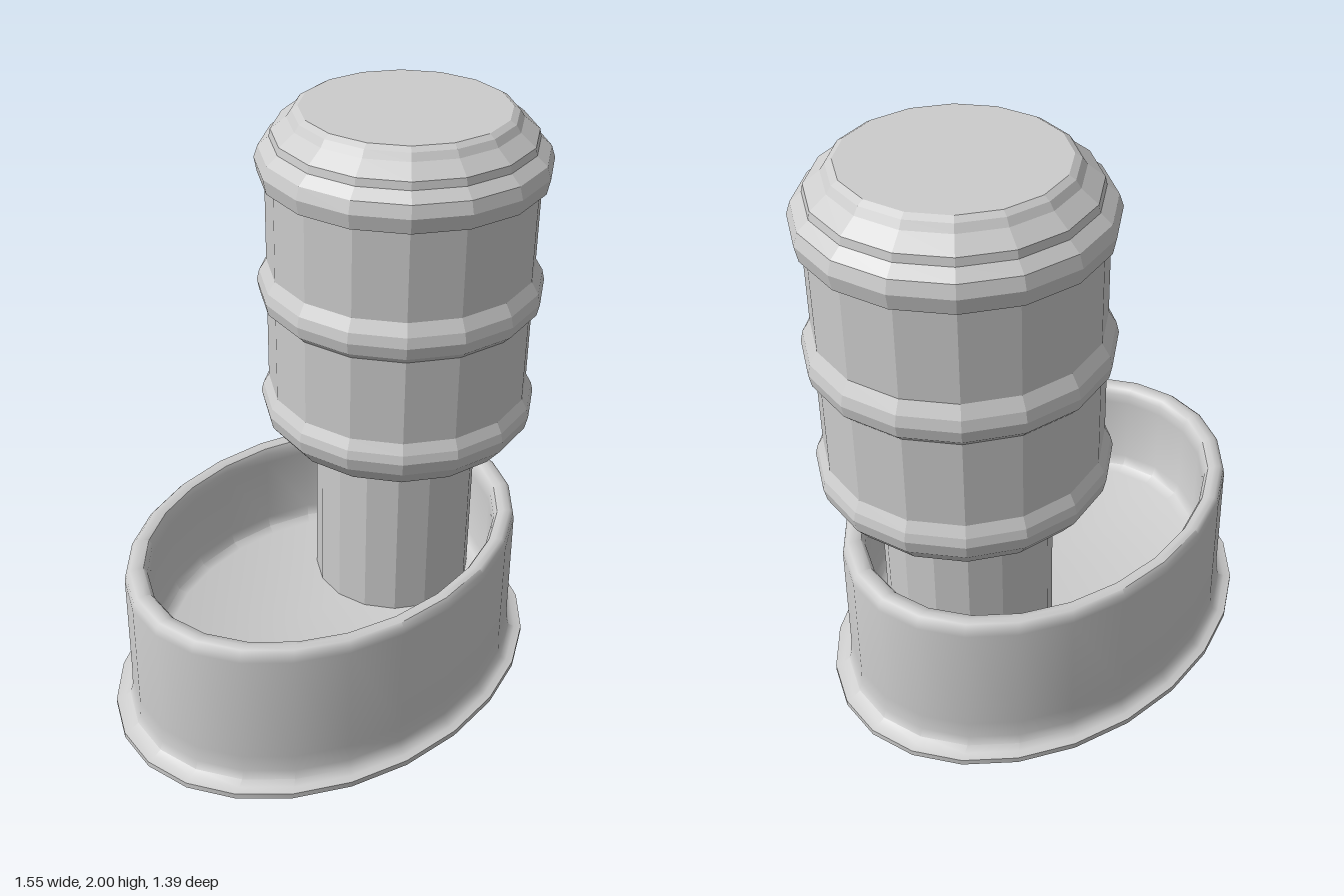
import * as THREE from 'three';
import { toCreasedNormals } from 'three/addons/utils/BufferGeometryUtils.js';

const SIDES = 16;
const FLAT = Math.cos(Math.PI / SIDES); // flat-to-flat radius over corner radius

const points = (pairs, scale = 1) => pairs.map(([r, y]) => new THREE.Vector2(r * scale, y));

export function createModel() {
  const model = new THREE.Group();
  const smooth = new THREE.MeshStandardMaterial({ color: 0xcccccc });
  const faceted = new THREE.MeshStandardMaterial({ color: 0xcccccc, flatShading: true });

  const add = (name, geometry, material) => {
    const mesh = new THREE.Mesh(geometry, material);
    mesh.name = name;
    model.add(mesh);
    return mesh;
  };

  // Oval bowl: flanged foot, upright wall, rounded rim and sunken floor
  const bowlProfile = points([
    [0, 0.005], [0.99, 0.005], [1, 0.012], [1, 0.032], [0.965, 0.037],
    [0.935, 0.05], [0.922, 0.08], [0.918, 0.14], [0.914, 0.54], [0.908, 0.565],
    [0.89, 0.578], [0.86, 0.58], [0.83, 0.574], [0.814, 0.555], [0.81, 0.52],
    [0.805, 0.27], [0.785, 0.235], [0.74, 0.22], [0, 0.22],
  ]);
  const bowlGeometry = new THREE.LatheGeometry(bowlProfile, 24);
  bowlGeometry.scale(0.833, 1, 0.626);
  const bowl = add('bowl', toCreasedNormals(bowlGeometry, 0.75), smooth);
  bowl.rotation.y = THREE.MathUtils.degToRad(33.6);

  // Bottle and neck share an axis towards the back left of the bowl
  const place = (mesh) => mesh.position.set(0.295, 0, -0.207);

  const neckProfile = points([[0.275, 0.2], [0.275, 0.8]], 1 / FLAT);
  place(add('neck', new THREE.LatheGeometry(neckProfile, SIDES, Math.PI / SIDES), faceted));

  // Ribbed reservoir: tapered shoulder, three raised bands, stepped top
  const bottleProfile = points([
    [0, 0.78], [0.28, 0.78], [0.405, 0.865], [0.452, 0.925], [0.462, 0.97],
    [0.455, 1.0], [0.436, 1.035],
    [0.436, 1.335], [0.46, 1.36], [0.468, 1.4], [0.46, 1.435], [0.436, 1.475],
    [0.436, 1.77], [0.458, 1.78], [0.468, 1.83], [0.455, 1.87], [0.42, 1.9],
    [0.415, 1.925], [0.365, 1.965], [0.35, 1.988], [0.33, 2], [0, 2],
  ], 1 / FLAT);
  place(add('bottle', new THREE.LatheGeometry(bottleProfile, SIDES, Math.PI / SIDES), faceted));

  return model;
}
